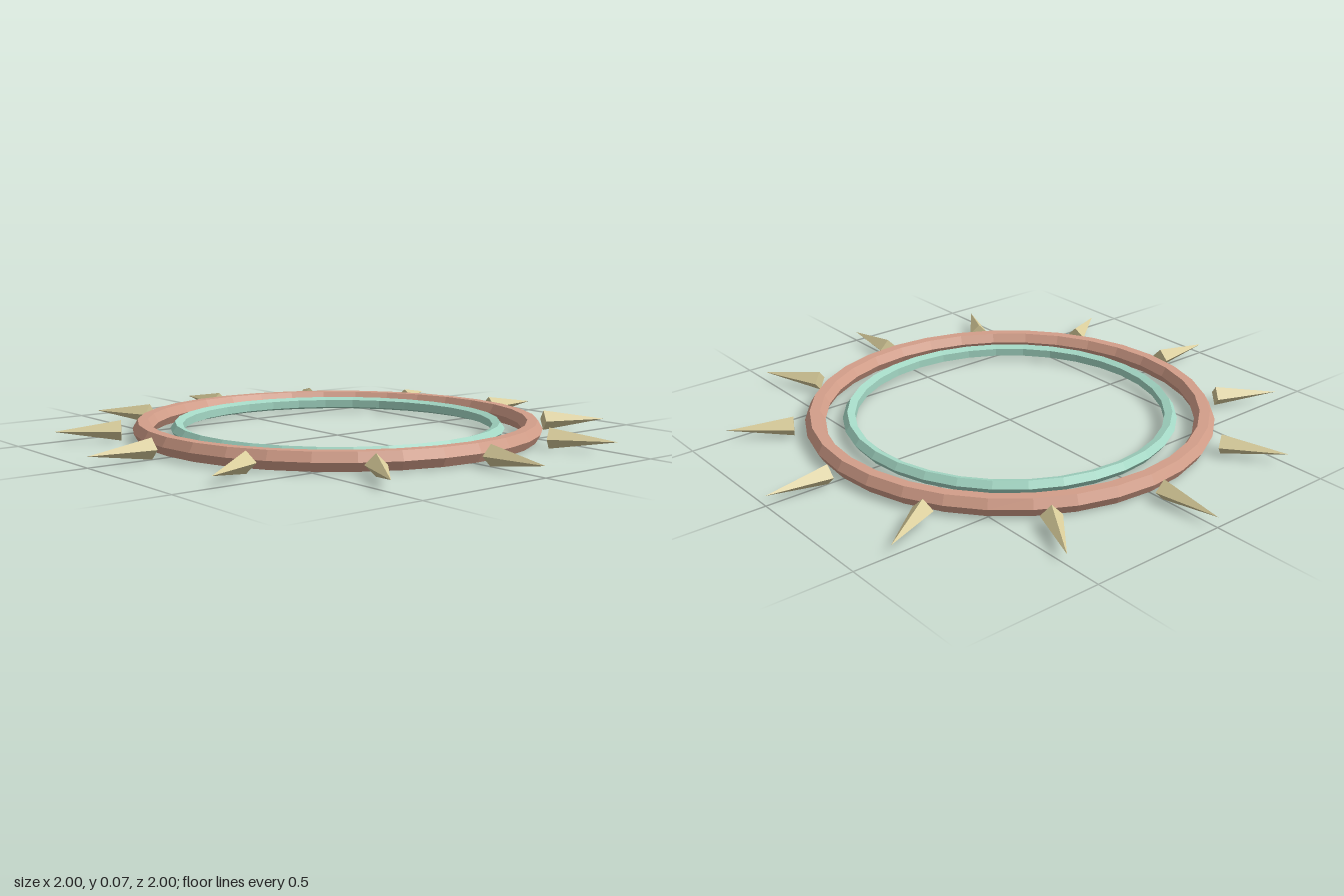
import * as THREE from 'three';

const paint = (name, color) => {
  const m = new THREE.MeshStandardMaterial({ color, flatShading: true });
  m.name = name;
  return m;
};

export function createModel() {
  const copper = paint('copper', 0xd39e89);
  const mint = paint('mint', 0xa4d8c5);
  const straw = paint('straw', 0xd8cc9a);
  const group = new THREE.Group();
  group.name = 'spikedRing';

  const spikeRadius = 0.0364, spikeBase = 0.768, spikeTip = 1;
  const midY = spikeRadius;

  // Flat-lying faceted rings
  const addRing = (name, radius, tube, sides, material) => {
    const geo = new THREE.TorusGeometry(radius, tube, sides, 32).rotateX(-Math.PI / 2);
    const ring = new THREE.Mesh(geo, material);
    ring.name = name;
    ring.position.y = midY;
    group.add(ring);
  };
  addRing('outerRing', 0.694, 0.0363, 6, copper);
  addRing('innerRing', 0.573, 0.0242, 5, mint);

  // Twelve four-sided spikes pointing outwards
  const spikeGeo = new THREE.ConeGeometry(spikeRadius, spikeTip - spikeBase, 4)
    .rotateZ(-Math.PI / 2)
    .translate((spikeBase + spikeTip) / 2, 0, 0);
  for (let i = 0; i < 12; i++) {
    const spike = new THREE.Mesh(spikeGeo, straw);
    spike.name = `spike${i + 1}`;
    spike.rotation.y = (i * Math.PI) / 6;
    spike.position.y = midY;
    group.add(spike);
  }
  return group;
}
